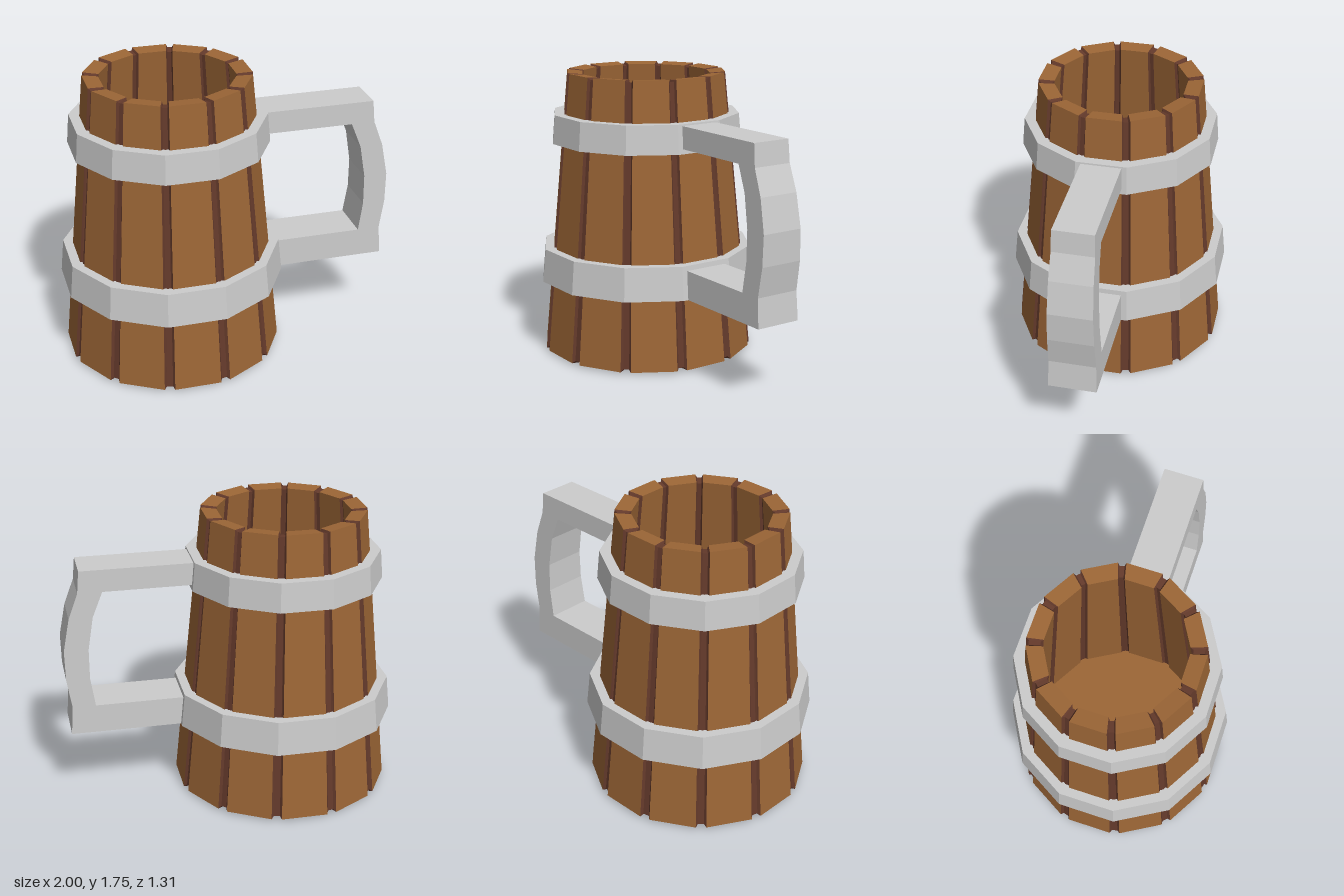
import * as THREE from 'three';

const SIDES = 12;
const AXIS_X = -0.344;
const rad = THREE.MathUtils.degToRad;

const material = (color) => new THREE.MeshStandardMaterial({ color, flatShading: true });

// Places a profile of [apothem, y] points at an angle, offset from the middle of its flat side
function section(profile, centre, offset) {
  const a = rad(centre + offset), stretch = 1 / Math.cos(rad(offset));
  return profile.map(([r, y]) => [r * stretch * Math.cos(a), y, r * stretch * Math.sin(a)]);
}

// Skins consecutive closed sections with quads
function skin(sections, out) {
  for (let i = 0; i < sections.length - 1; i++) {
    const A = sections[i], B = sections[i + 1];
    for (let j = 0; j < A.length; j++) {
      const k = (j + 1) % A.length;
      out.push(...A[j], ...A[k], ...B[k], ...A[j], ...B[k], ...B[j]);
    }
  }
}

function makeMesh(name, positions, mat) {
  const g = new THREE.BufferGeometry();
  g.setAttribute('position', new THREE.Float32BufferAttribute(positions, 3));
  g.computeVertexNormals();
  const m = new THREE.Mesh(g, mat);
  m.name = name;
  return m;
}

export function createModel() {
  const model = new THREE.Group();
  model.name = 'tankard';
  const wood = material(0x9c6636);
  const darkWood = material(0x643a2b);
  const metal = material(0xcccccc);

  const barrel = new THREE.Group();
  barrel.name = 'barrel';
  barrel.position.x = AXIS_X;
  model.add(barrel);

  // Staves with recessed dark grooves between them
  const staveProfile = [[0.645, 0.014], [0.481, 1.75], [0.388, 1.741], [0.55, 0]];
  const grooveProfile = [[0.627, 0.029], [0.465, 1.736], [0.402, 1.728], [0.564, 0.015]];
  const edge = 12.3, floorEdge = 13.4, step = 360 / SIDES;
  for (let i = 0; i < SIDES; i++) {
    const c = i * step, next = c + step;
    const stave = [], groove = [];
    const right = section(staveProfile, c, edge);
    skin([section(staveProfile, c, -edge), right], stave);
    skin([
      right,
      section(grooveProfile, c, floorEdge),
      section(grooveProfile, next, -floorEdge),
      section(staveProfile, next, -edge),
    ], groove);
    barrel.add(makeMesh('stave', stave, wood), makeMesh('groove', groove, darkWood));
  }

  // Floor, recessed from the underside
  const base = new THREE.Mesh(new THREE.CylinderGeometry(0.565, 0.567, 0.02, 24), wood);
  base.name = 'floor';
  base.position.y = 0.1;
  barrel.add(base);

  // Metal hoops
  const hoops = {
    upperHoop: [[0.578, 1.325], [0.563, 1.5], [0.49, 1.5], [0.506, 1.325]],
    lowerHoop: [[0.657, 0.46], [0.637, 0.665], [0.57, 0.665], [0.588, 0.46]],
  };
  for (const [name, profile] of Object.entries(hoops)) {
    const rings = [], out = [];
    for (let i = 0; i <= SIDES; i++) rings.push(section(profile, i * step, step / 2));
    skin(rings, out);
    barrel.add(makeMesh(name, out, metal));
  }

  // Handle: bowed bracket, widening towards the bottom
  const outline = [
    [0.19, 1.49], [0.89, 1.49], [0.902, 1.355], [0.96, 1.2], [0.998, 1.0], [0.994, 0.815],
    [0.965, 0.635], [0.978, 0.46], [0.27, 0.46], [0.27, 0.635], [0.826, 0.635],
    [0.853, 0.815], [0.853, 1.0], [0.82, 1.2], [0.758, 1.355], [0.19, 1.355],
  ];
  const shape = new THREE.Shape(outline.map(([x, y]) => new THREE.Vector2(x, y)));
  const handleGeo = new THREE.ExtrudeGeometry(shape, { depth: 2, bevelEnabled: false });
  handleGeo.translate(0, 0, -1);
  const p = handleGeo.attributes.position;
  for (let i = 0; i < p.count; i++) {
    p.setZ(i, p.getZ(i) * THREE.MathUtils.mapLinear(p.getY(i), 0.46, 1.49, 0.142, 0.12));
  }
  handleGeo.computeVertexNormals();
  const handle = new THREE.Mesh(handleGeo, metal);
  handle.name = 'handle';
  model.add(handle);

  return model;
}
